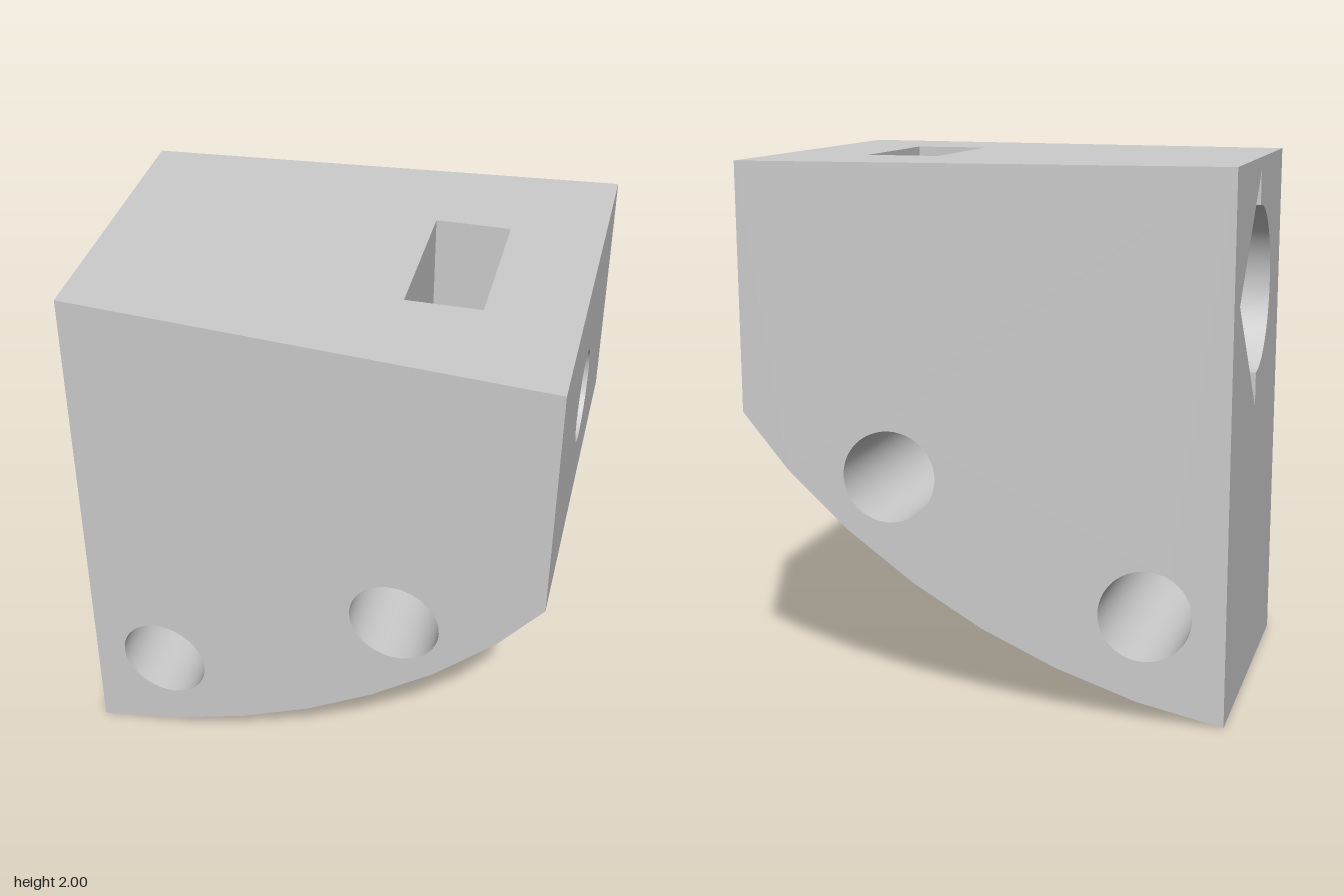
import * as THREE from 'three';
import { toCreasedNormals } from 'three/addons/utils/BufferGeometryUtils.js';

const X0 = -0.885, X1 = 0.885, TOP = 2;
const BORE_Y = 1.51, POCKET_X = 0, SLOT = { x0: 0.27, x1: 0.545, z: 0.282, y: 1.22 };

// half depth of the wedge at a given x
const halfDepth = (x) => THREE.MathUtils.mapLinear(x, X0, X1, 0.568, 0.718);

// maps from a flat drawing (u, v) into space
const front = (u, v) => [u, v, halfDepth(u)];
const back = (u, v) => [u, v, -halfDepth(u)];
const atX = (x) => (u, v) => [x, v, u]; // drawing faces -x
const atY = (y) => (u, v) => [u, y, v]; // drawing faces -y
const atZ = (z) => (u, v) => [u, v, z]; // drawing faces +z

const pts = (list) => list.map(([u, v]) => new THREE.Vector2(u, v));
const rect = (u0, v0, u1, v1) => pts([[u0, v0], [u1, v0], [u1, v1], [u0, v1]]);
const arc = (cu, cv, r, from, to, n) => Array.from({ length: n + 1 }, (_, i) => {
  const a = from + ((to - from) * i) / n;
  return new THREE.Vector2(cu + r * Math.cos(a), cv + r * Math.sin(a));
});
const circle = (cu, cv, r) => arc(cu, cv, r, 0, Math.PI * 2, 48).slice(0, -1);

export function createModel() {
  const group = new THREE.Group();
  const grey = new THREE.MeshStandardMaterial({ color: 0xcccccc });
  grey.name = 'light grey';

  const add = (name, geometry) => {
    const mesh = new THREE.Mesh(geometry, grey);
    mesh.name = name;
    group.add(mesh);
  };

  // flat face with holes, placed by a map
  const plate = (name, outline, holes, map, flip = false) => {
    const shape = new THREE.Shape(outline);
    shape.holes = holes.map((h) => new THREE.Path(h));
    const geo = new THREE.ShapeGeometry(shape);
    const pos = geo.attributes.position;
    for (let i = 0; i < pos.count; i++) pos.setXYZ(i, ...map(pos.getX(i), pos.getY(i)));
    if (flip) geo.setIndex(Array.from(geo.index.array).reverse());
    geo.computeVertexNormals();
    add(name, geo);
  };

  // wall swept from one map of an outline to another
  const wall = (name, outline, mapA, mapB, closed = true) => {
    const n = outline.length, verts = [], index = [];
    for (const p of outline) verts.push(...mapA(p.x, p.y), ...mapB(p.x, p.y));
    for (let i = 0; i < (closed ? n : n - 1); i++) {
      const a = 2 * i, b = 2 * ((i + 1) % n);
      index.push(a, b, b + 1, a, b + 1, a + 1);
    }
    const geo = new THREE.BufferGeometry();
    geo.setAttribute('position', new THREE.Float32BufferAttribute(verts, 3));
    geo.setIndex(index);
    add(name, toCreasedNormals(geo, 0.6));
  };

  // outer body
  const curve = pts([[X0, 0], [-0.57, 0.075], [-0.27, 0.185], [0, 0.315],
    [0.255, 0.475], [0.5, 0.665], [0.72, 0.88], [X1, 1.09]]);
  const side = [...curve, ...pts([[X1, TOP], [X0, TOP]])];
  const crossHoles = [circle(-0.595, 0.4, 0.17), circle(0.34, 0.87, 0.17)];
  plate('frontFace', side, crossHoles, front);
  plate('backFace', side, crossHoles, back, true);
  wall('curvedUnderside', curve, back, front, false);
  crossHoles.forEach((h) => wall('crossHole', h, front, back));

  const slotOutline = rect(SLOT.x0, -SLOT.z, SLOT.x1, SLOT.z);
  const d0 = halfDepth(X0), d1 = halfDepth(X1);
  plate('topFace', pts([[X0, -d0], [X1, -d1], [X1, d1], [X0, d0]]), [slotOutline], atY(TOP), true);

  // lengthwise bore: half-diamond and round pocket, narrow part, wide mouth
  const narrow = circle(0, BORE_Y, 0.14), wide = circle(0, BORE_Y, 0.17);
  const R = 0.314, D = R * Math.SQRT2;
  const pocket = [
    ...arc(0, BORE_Y, R, -Math.PI / 2, Math.PI / 2, 24),
    ...pts([[0, BORE_Y + D], [-D, BORE_Y], [0, BORE_Y - D]]),
  ];
  plate('tallEndFace', rect(-d0, 0, d0, TOP), [pocket], atX(X0));
  plate('shortEndFace', rect(-d1, 1.09, d1, TOP), [wide], atX(X1), true);
  wall('pocketWall', pocket, atX(X0), atX(POCKET_X));
  plate('pocketFloor', pocket, [narrow], atX(POCKET_X));
  wall('narrowBore', narrow, atX(POCKET_X), atX(SLOT.x0));
  wall('wideBore', wide, atX(SLOT.x1), atX(X1));

  // slot sunk from the top
  const slotEnd = rect(-SLOT.z, SLOT.y, SLOT.z, TOP);
  const slotSide = rect(SLOT.x0, SLOT.y, SLOT.x1, TOP);
  plate('slotInnerWall', slotEnd, [narrow], atX(SLOT.x0), true);
  plate('slotOuterWall', slotEnd, [wide], atX(SLOT.x1));
  plate('slotBackWall', slotSide, [], atZ(-SLOT.z));
  plate('slotFrontWall', slotSide, [], atZ(SLOT.z), true);
  plate('slotFloor', slotOutline, [], atY(SLOT.y), true);

  return group;
}
